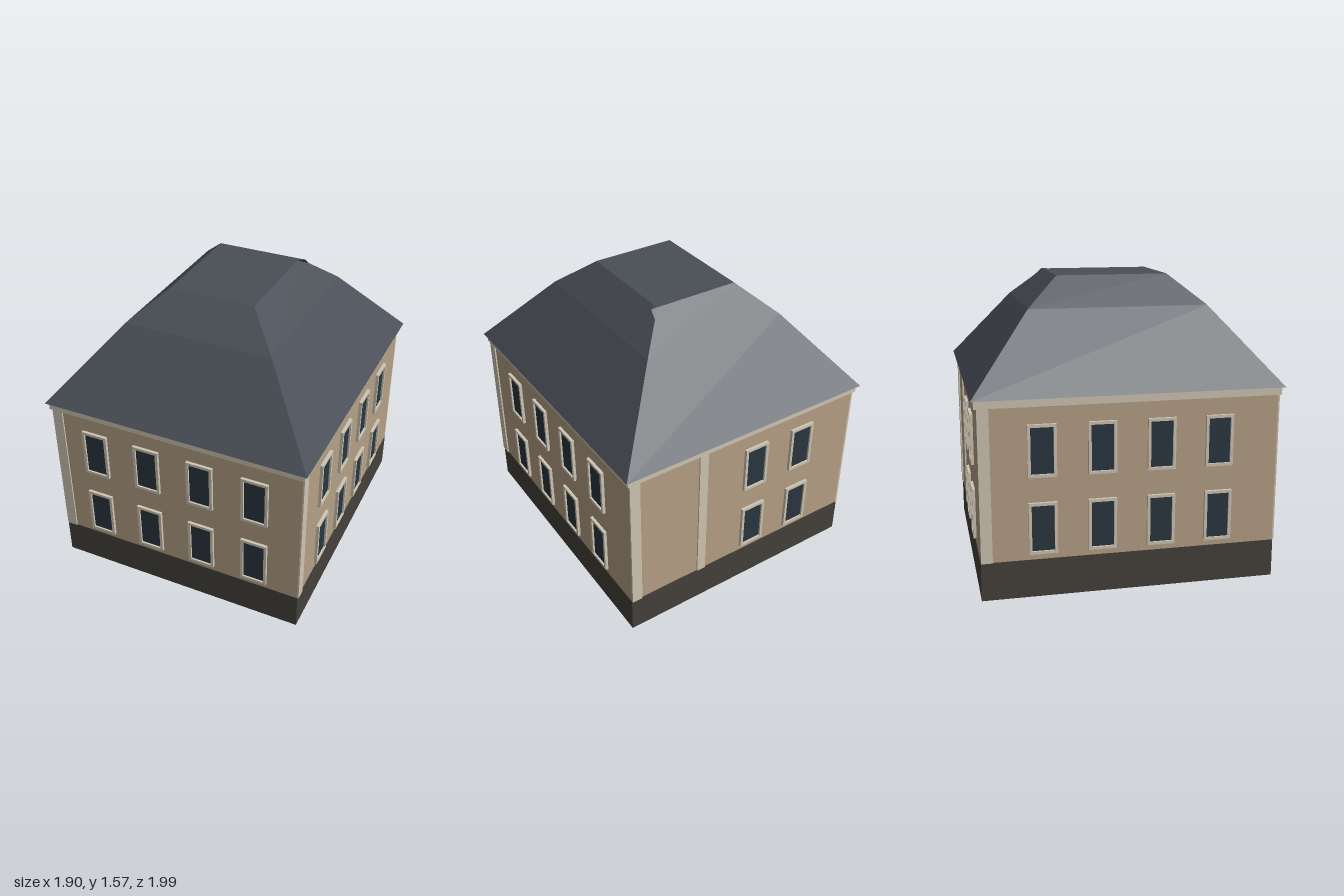
import * as THREE from 'three';

const HX = 0.70, HZ = 0.768; // half width and half depth of the walls

const material = (color) => new THREE.MeshStandardMaterial({ color, roughness: 0.9, flatShading: true });
const mats = {
  wall: material(0xb5a086),
  trim: material(0xcfc6b4),
  glass: material(0x2a3640),
  plinth: material(0x45413b),
  roof: material(0x4a4f57),
};

function box(parent, name, mat, size, pos) {
  const mesh = new THREE.Mesh(new THREE.BoxGeometry(...size), mat);
  mesh.name = name;
  mesh.position.set(...pos);
  parent.add(mesh);
  return mesh;
}

// Rectangular rings [halfX, y, halfZ] joined into sloping faces, closed at both ends
function hippedGeometry(rings) {
  const corners = rings.map(([x, y, z]) => [[-x, y, z], [x, y, z], [x, y, -z], [-x, y, -z]]);
  const out = [];
  const quad = (a, b, c, d) => out.push(...a, ...b, ...c, ...a, ...c, ...d);
  for (let r = 0; r < rings.length - 1; r++) {
    for (let i = 0; i < 4; i++) {
      const j = (i + 1) % 4;
      quad(corners[r][i], corners[r][j], corners[r + 1][j], corners[r + 1][i]);
    }
  }
  quad(...corners[rings.length - 1]);
  quad(...corners[0].slice().reverse());
  return fromTriangles(out);
}

function fromTriangles(values) {
  const geo = new THREE.BufferGeometry();
  geo.setAttribute('position', new THREE.Float32BufferAttribute(values, 3));
  geo.computeVertexNormals();
  return geo;
}

// Framed window; the wall surface is z = 0 and outward is +z
function makeWindow(x, y) {
  const w = 0.145, h = 0.268, bar = 0.015, depth = 0.016;
  const g = new THREE.Group();
  g.name = 'window';
  g.position.set(x, y, 0);
  box(g, 'windowPane', mats.glass, [w - bar, h - bar, 0.008], [0, 0, 0.002]);
  for (const s of [-1, 1]) {
    box(g, 'frameUpright', mats.trim, [bar, h, depth], [s * (w - bar) / 2, 0, depth / 2]);
    box(g, 'frameRail', mats.trim, [w - 2 * bar, bar, depth], [0, s * (h - bar) / 2, depth / 2]);
  }
  return g;
}

// One side of the house: a strip at its left end plus two rows of windows
function makeFacade(name, halfWidth, distance, angle, columns) {
  const g = new THREE.Group();
  g.name = name;
  g.rotation.y = angle;
  const face = new THREE.Group();
  face.position.z = distance;
  g.add(face);
  box(face, 'cornerStrip', mats.trim, [0.058, 0.79, 0.01], [-halfWidth + 0.029, 0.595, 0.003]);
  for (const x of columns) {
    for (const y of [0.366, 0.766]) face.add(makeWindow(x, y));
  }
  return g;
}

export function createModel() {
  const model = new THREE.Group();
  model.name = 'house';
  const house = new THREE.Group();
  house.name = 'turnedHouse';
  house.rotation.y = -THREE.MathUtils.degToRad(19.5);
  model.add(house);

  // Body
  box(house, 'plinth', mats.plinth, [2 * HX + 0.004, 0.2, 2 * HZ + 0.004], [0, 0.1, 0]);
  box(house, 'walls', mats.wall, [2 * HX, 0.8, 2 * HZ], [0, 0.6, 0]);
  box(house, 'cornice', mats.trim, [2 * HX + 0.026, 0.04, 2 * HZ + 0.026], [0, 1.009, 0]);

  // Facades
  const four = [-0.455, -0.152, 0.152, 0.455];
  house.add(makeFacade('frontFacade', HX, HZ, 0, four));
  house.add(makeFacade('leftFacade', HZ, HX, Math.PI / 2, four));
  house.add(makeFacade('rightFacade', HZ, HX, -Math.PI / 2, four));
  const back = makeFacade('backFacade', HX, HZ, Math.PI, [0.06, 0.36]);
  box(back.children[0], 'middleStrip', mats.trim, [0.05, 0.79, 0.01], [-0.27, 0.595, 0.003]);
  house.add(back);

  // Two-pitch hipped roof with a flat top
  const roof = new THREE.Mesh(hippedGeometry([
    [0.728, 1.03, 0.797], [0.403, 1.42, 0.473], [0.234, 1.572, 0.298],
  ]), mats.roof);
  roof.name = 'roof';
  house.add(roof);

  // Small spur where the back slope overruns the hip
  const P = [0.275, 1.535, -0.341], Q = [0.27, 1.572, -0.3], R = [0.234, 1.572, -0.27], T = [0.234, 1.572, -0.298];
  const spurMat = mats.roof.clone();
  spurMat.side = THREE.DoubleSide;
  const spur = new THREE.Mesh(fromTriangles([
    ...T, ...R, ...Q, ...P, ...T, ...Q, ...P, ...Q, ...R, ...P, ...R, ...T,
  ]), spurMat);
  spur.name = 'roofSpur';
  house.add(spur);

  return model;
}
